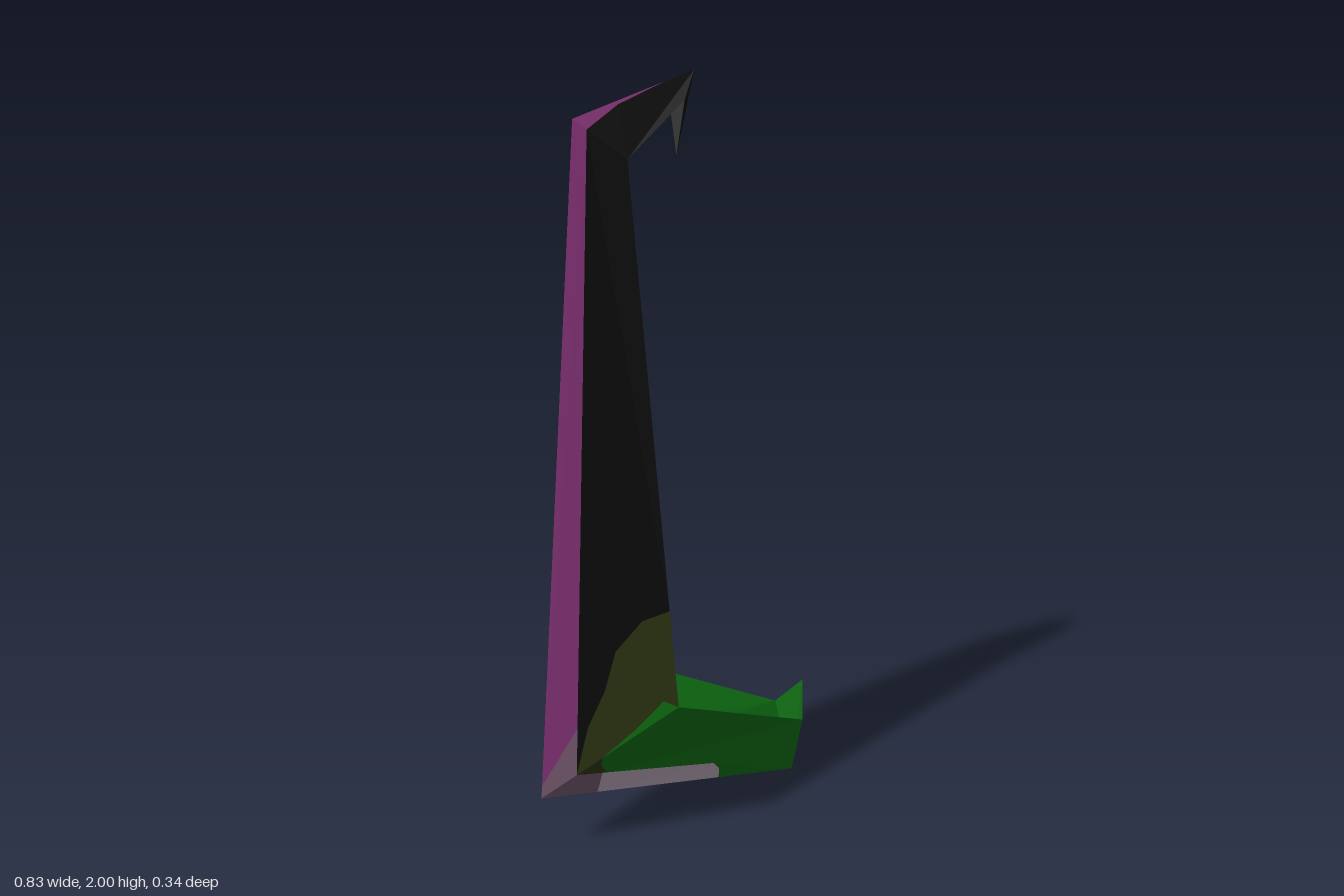
import * as THREE from 'three';

const mat = (name, color) => {
  const m = new THREE.MeshStandardMaterial({ color, side: THREE.DoubleSide });
  m.name = name;
  return m;
};
const V = (x, y, z = 0) => new THREE.Vector3(x, y, z);

export function createModel() {
  const group = new THREE.Group();
  group.name = 'hookedBlade';

  const black = mat('black', 0x0b0b0b);
  const purple = mat('purple', 0x853377);
  const mauve = mat('mauve', 0x765a70);
  const paleGrey = mat('paleGrey', 0xb9a7b9);
  const olive = mat('olive', 0x2b3412);
  const green = mat('green', 0x0f6f14);

  // Key points: the sharp spine lies on z = 0, the open rim stands out to the side
  const heel = V(-0.415, 0.17), crown = V(-0.285, 1.925), tip = V(0.05, 2), toe = V(0.385, 0);
  const heelRim = V(-0.103, 0.42, 0.168), crownRim = V(-0.18, 1.83, 0.069);
  const tipRim = V(0, 1.94, 0.035), toeRim = V(0.37, 0.19, 0.064);
  const barb = V(0, 1.8), spike = V(0.415, 0.272);

  // Panels: u runs along the blade, v from spine to rim
  const shaft = [heel, crown, heelRim, crownRim];
  const foot = [heel, toe, heelRim, toeRim];
  const hook = [crown, tip, crownRim, tipRim];
  const barbFace = [tip, barb, tipRim, tipRim];
  const spikeFace = [toe, spike, toeRim, toeRim];

  // One coloured area of a panel, given as a (u, v) outline, on both sides
  function area(name, material, [s0, s1, r0, r1], outline) {
    const shape = new THREE.Shape(outline.map(([u, v]) => new THREE.Vector2(u, v)));
    const base = new THREE.ShapeGeometry(shape).toNonIndexed();
    for (const side of [1, -1]) {
      const geo = base.clone();
      const p = geo.attributes.position;
      for (let i = 0; i < p.count; i++) {
        const u = p.getX(i), v = p.getY(i);
        const q = s0.clone().lerp(s1, u).lerp(r0.clone().lerp(r1, u), v);
        p.setXYZ(i, q.x, q.y, q.z * side);
      }
      geo.computeVertexNormals();
      const mesh = new THREE.Mesh(geo, material);
      mesh.name = name + (side > 0 ? 'Front' : 'Back');
      group.add(mesh);
    }
  }

  const e = 0.26; // width of the edge band

  // Upright shaft
  area('shaftHeelEdge', mauve, shaft, [[0, 0], [0.02, 0], [0.08, e], [0, e]]);
  area('shaftEdge', purple, shaft, [[0.02, 0], [1, 0], [1, e], [0.08, e]]);
  const stain = [[0, e], [0.07, 0.34], [0.115, 0.47], [0.173, 0.56], [0.2, 0.78], [0.19, 1]];
  const seam = [[0, 1], [0.03, 0.9], [0.012, 0.7], [0, 0.45]];
  area('shaftStain', olive, shaft, [...stain, ...seam]);
  area('shaftRoot', green, shaft, seam);
  area('shaftSide', black, shaft, [...stain, [1, 1], [1, e]]);

  // Foot
  area('footHeelEdge', mauve, foot, [[0, 0], [0.21, 0], [0.11, e], [0, e]]);
  area('footEdge', paleGrey, foot, [[0.21, 0], [0.69, 0], [0.66, 0.16], [0.61, e], [0.11, e]]);
  area('footToeEdge', green, foot, [[0.69, 0], [1, 0], [1, e], [0.61, e], [0.66, 0.16]]);
  area('footStain', olive, foot, [[0, e], [0.13, e], [0.05, 0.36], [0, 0.45]]);
  area('footSide', green, foot, [[0.13, e], [1, e], [1, 1], [0, 1], [0, 0.45], [0.05, 0.36]]);

  // Hook at the top
  const fade = [[0.75, 0], [0.35, 0.08], [0, e]];
  area('hookEdge', purple, hook, [[0, 0], ...fade]);
  area('hookSide', black, hook, [...fade, [0, 1], [1, 1], [1, 0]]);

  // Pointed ends closing the shell
  const triangle = [[0, 0], [1, 0], [0, 1]];
  area('barb', black, barbFace, triangle);
  area('toeSpike', green, spikeFace, triangle);

  return group;
}
